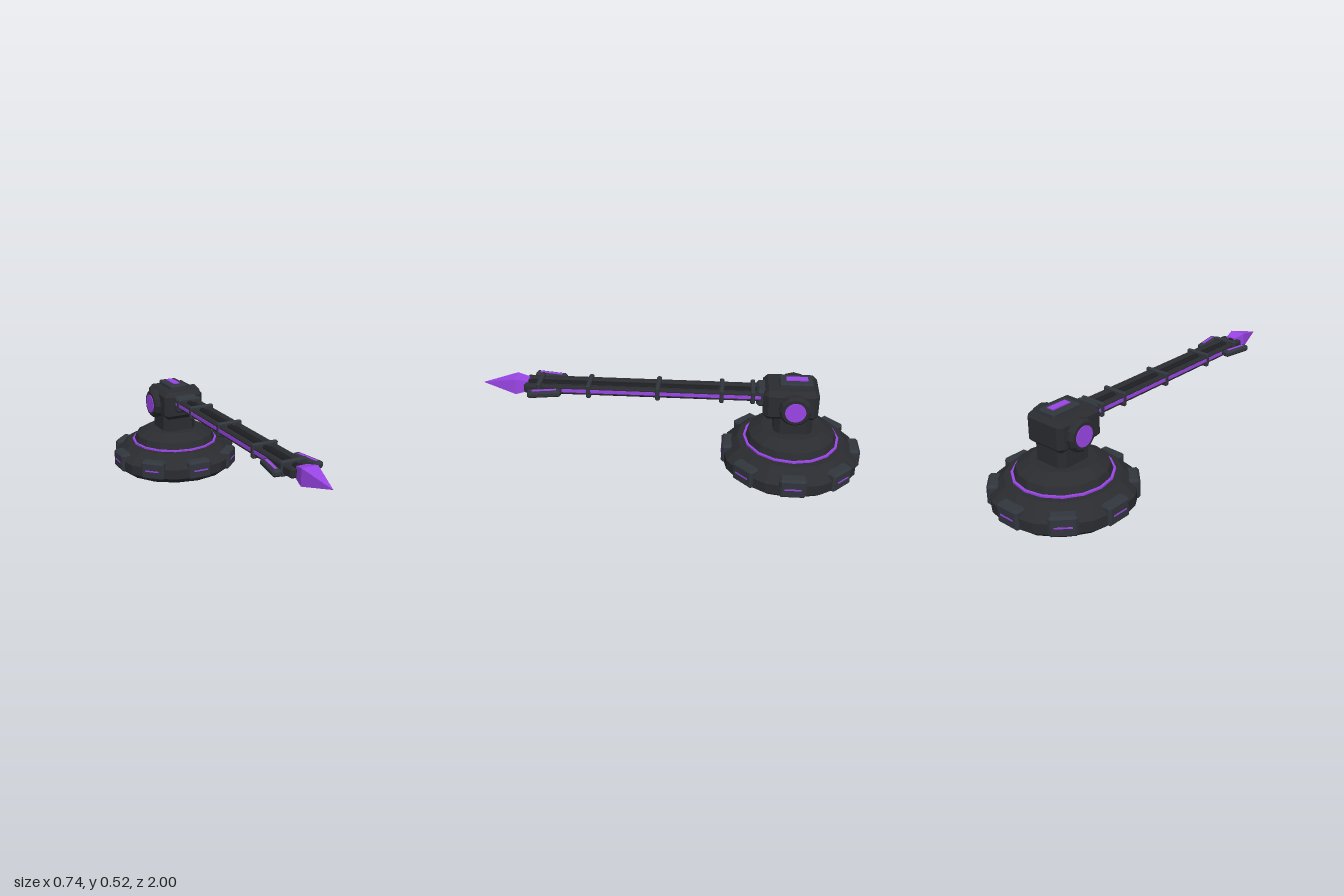
import * as THREE from 'three';
import { ConvexGeometry } from 'three/addons/geometries/ConvexGeometry.js';

const paint = (color) => new THREE.MeshStandardMaterial({ color, flatShading: true });
const dark = paint(0x2a2c30);
const plate = paint(0x31363d);
const black = paint(0x1d1e21);
const glow = paint(0x9a45e6);

// Box with every edge cut at 45 degrees by c
function chamferBox(w, h, d, c) {
  const pts = [];
  for (const x of [-1, 1]) for (const y of [-1, 1]) for (const z of [-1, 1]) {
    const [a, b, e] = [w / 2, h / 2, d / 2];
    pts.push(new THREE.Vector3(x * a, y * (b - c), z * (e - c)));
    pts.push(new THREE.Vector3(x * (a - c), y * b, z * (e - c)));
    pts.push(new THREE.Vector3(x * (a - c), y * (b - c), z * e));
  }
  return new ConvexGeometry(pts);
}

function add(parent, name, geometry, material, x = 0, y = 0, z = 0) {
  const mesh = new THREE.Mesh(geometry, material);
  mesh.name = name;
  mesh.position.set(x, y, z);
  parent.add(mesh);
  return mesh;
}

function lathe(profile, sides) {
  return new THREE.LatheGeometry(profile.map(([r, y]) => new THREE.Vector2(r, y)), sides);
}

function createBase() {
  const base = new THREE.Group();
  base.name = 'base';
  add(base, 'foot', lathe([[0, 0], [0.322, 0], [0.363, 0.035], [0.363, 0.09], [0.285, 0.16], [0, 0.16]], 16), dark);
  add(base, 'glowRing', new THREE.CylinderGeometry(0.253, 0.253, 0.009, 16), glow, 0, 0.1645, 0);
  add(base, 'dome', lathe([[0.24, 0.158], [0.24, 0.17], [0.228, 0.205], [0.16, 0.242], [0, 0.242]], 16), dark);

  // Eight armour blocks round the rim, each with a light
  const blockGeo = chamferBox(0.138, 0.107, 0.066, 0.012);
  const lightGeo = new THREE.BoxGeometry(0.084, 0.008, 0.006);
  for (let i = 0; i < 8; i++) {
    const segment = new THREE.Group();
    segment.name = 'rimSegment';
    segment.rotation.y = (i * Math.PI) / 4;
    add(segment, 'rimBlock', blockGeo, plate, 0, 0.0785, 0.333);
    add(segment, 'rimLight', lightGeo, glow, 0, 0.078, 0.365);
    base.add(segment);
  }
  return base;
}

function createHead() {
  const head = new THREE.Group();
  head.name = 'head';
  add(head, 'pillar', chamferBox(0.2, 0.2, 0.2, 0.03), dark, 0, 0.29, 0);
  add(head, 'housing', chamferBox(0.236, 0.16, 0.28, 0.024), dark, 0, 0.408, 0.02);
  add(head, 'topPlate', chamferBox(0.106, 0.03, 0.174, 0.007), plate, 0, 0.495, -0.005);
  add(head, 'topLight', new THREE.BoxGeometry(0.038, 0.01, 0.11), glow, 0, 0.511, -0.008);
  add(head, 'armSocket', chamferBox(0.13, 0.094, 0.06, 0.012), plate, 0, 0.424, 0.165);

  // Side pivots with round lights
  const hub = lathe([[0, 0], [0.083, 0], [0.083, 0.03], [0.07, 0.044], [0, 0.044]], 12);
  for (const s of [-1, 1]) {
    const pivot = new THREE.Group();
    pivot.name = s > 0 ? 'leftPivot' : 'rightPivot';
    pivot.position.set(s * 0.106, 0.398, 0);
    pivot.rotation.z = -s * Math.PI / 2;
    add(pivot, 'hub', hub, dark);
    add(pivot, 'hubLight', new THREE.CylinderGeometry(0.053, 0.053, 0.01, 20), glow, 0, 0.043, 0);
    head.add(pivot);
  }
  return head;
}

function createArm() {
  const arm = new THREE.Group();
  arm.name = 'arm';
  arm.position.y = 0.429;

  // Three parallel rails, the outer ones with light strips
  for (const i of [-1, 0, 1]) {
    add(arm, 'rail', chamferBox(i ? 0.036 : 0.034, 0.048, 1.25, 0.008), i ? dark : black, i * 0.045, 0, 0.145);
    if (i) add(arm, 'railLight', new THREE.BoxGeometry(0.006, 0.018, 1.03), glow, i * 0.063, 0.001, 0.055);
  }

  // Clamps along the rails
  const clampGeo = chamferBox(0.142, 0.074, 0.024, 0.006);
  for (const z of [-0.42, -0.26, 0.07, 0.43, 0.69]) add(arm, 'clamp', clampGeo, plate, 0, 0, z);

  // Splayed fins beside the muzzle
  for (const s of [-1, 1]) {
    const fin = new THREE.Group();
    fin.name = s > 0 ? 'leftFin' : 'rightFin';
    fin.position.set(s * 0.098, 0, 0.655);
    fin.rotation.y = s * 0.17;
    add(fin, 'finBody', chamferBox(0.046, 0.034, 0.172, 0.009), plate);
    add(fin, 'finLight', new THREE.BoxGeometry(0.016, 0.006, 0.125), glow, 0, 0.016, 0);
    arm.add(fin);
  }

  // Square crystal tip
  const points = [new THREE.Vector3(0, 0, 1)];
  for (const x of [-1, 1]) for (const y of [-1, 1]) {
    points.push(new THREE.Vector3(x * 0.043, y * 0.043, 0.82));
    points.push(new THREE.Vector3(x * 0.029, y * 0.029, 0.755));
  }
  add(arm, 'crystalTip', new ConvexGeometry(points), glow);
  return arm;
}

export function createModel() {
  const model = new THREE.Group();
  model.name = 'beamTurret';
  const base = createBase();
  const head = createHead();
  base.position.z = head.position.z = -0.634;
  model.add(base, head, createArm());
  return model;
}
